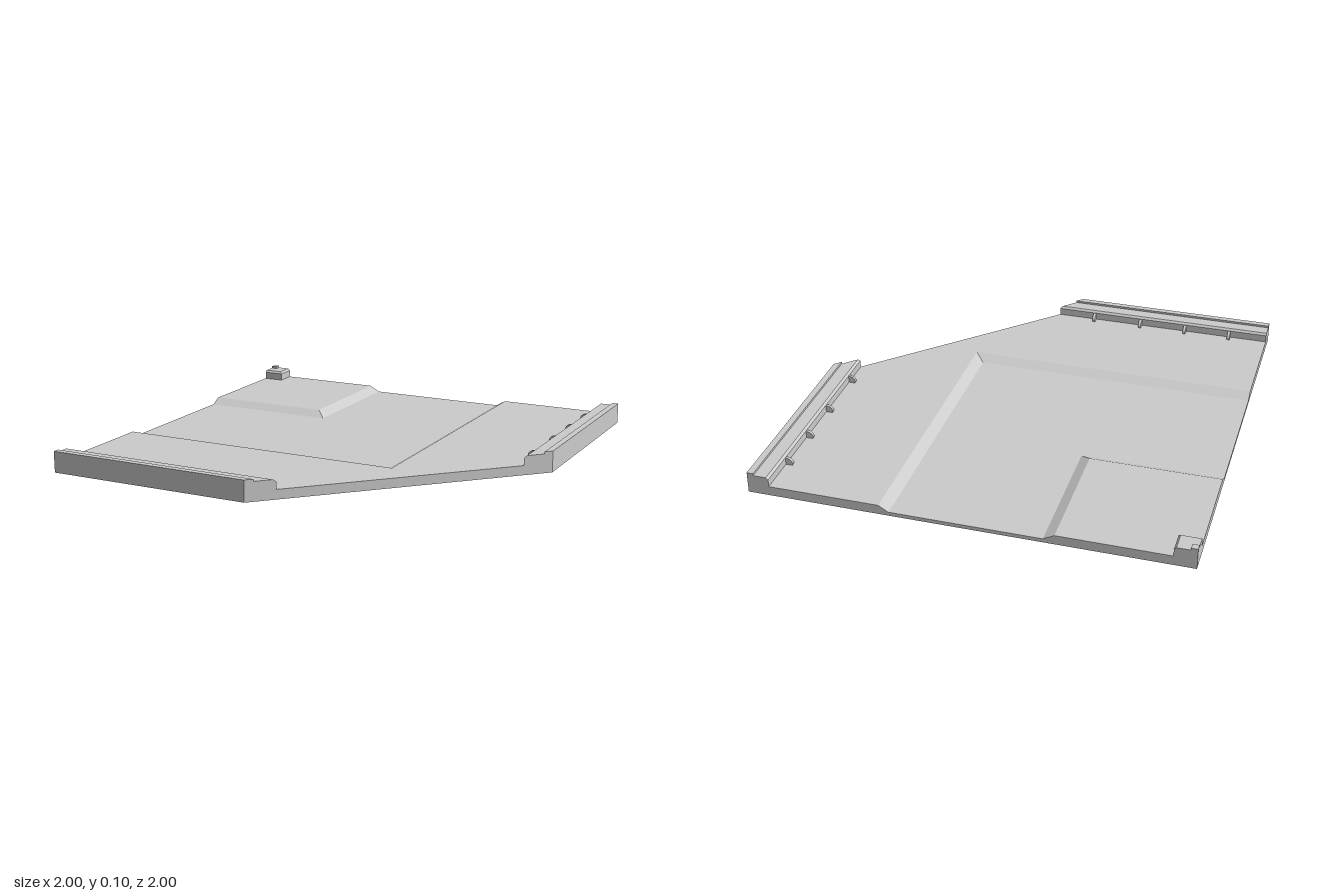
import * as THREE from 'three';

const CUT = 0.99; // the corner cut runs along x + z = CUT
const MID = CUT / 2;
const material = new THREE.MeshStandardMaterial({ color: 0xcccccc, flatShading: true });

// Sweeps a [distance, height] profile round the L-shaped plan, mitred on the
// diagonal and trimmed by the corner cut, with end walls down to the ground.
function sweep(name, profile, walls = true) {
  const pos = [];
  const end = d => Math.min(d, CUT - d);
  for (const mirrored of [false, true]) {
    const tri = (...pts) => {
      if (mirrored) pts.reverse();
      for (const [x, y, z] of pts) pos.push(...(mirrored ? [z, y, x] : [x, y, z]));
    };
    const quad = (a, b, c, d) => { tri(a, b, c); tri(a, c, d); };
    for (let i = 0; i < profile.length - 1; i++) {
      const [d0, y0] = profile[i], [d1, y1] = profile[i + 1];
      const e0 = end(d0), e1 = end(d1);
      quad([-1, y0, d0], [-1, y1, d1], [e1, y1, d1], [e0, y0, d0]);
      if (!walls || d0 === d1) continue;
      quad([-1, 0, d0], [-1, 0, d1], [-1, y1, d1], [-1, y0, d0]);
      if (d0 >= MID) quad([e0, 0, d0], [e0, y0, d0], [e1, y1, d1], [e1, 0, d1]);
    }
  }
  const geo = new THREE.BufferGeometry();
  geo.setAttribute('position', new THREE.Float32BufferAttribute(pos, 3));
  geo.computeVertexNormals();
  const mesh = new THREE.Mesh(geo, material);
  mesh.name = name;
  return mesh;
}

// Small rounded drain spout on the road face of a kerb
function spoutGeometry() {
  const s = new THREE.Shape();
  s.moveTo(0.91, 0.04);
  s.lineTo(0.87, 0.04);
  s.lineTo(0.866, 0.055);
  s.quadraticCurveTo(0.87, 0.076, 0.895, 0.078);
  s.lineTo(0.91, 0.078);
  s.closePath();
  const geo = new THREE.ExtrudeGeometry(s, { depth: 0.014, bevelEnabled: false, curveSegments: 5 });
  return geo.translate(0, 0, -0.007);
}

export function createModel() {
  const group = new THREE.Group();

  // Raised block at the inner corner, with a small lip
  group.add(sweep('cornerKerb', [[-1, 0.1], [-0.97, 0.1], [-0.97, 0.09], [-0.91, 0.09], [-0.9, 0.08], [-0.9, 0.045]]));
  // Inner paving, sloping down to the sunken lane and up again
  group.add(sweep('innerPaving', [[-0.9, 0.045], [-0.395, 0.045]]));
  group.add(sweep('sunkenLane', [[-0.395, 0.045], [-0.345, 0.018], [0.343, 0.018], [0.39, 0.045]]));
  group.add(sweep('outerPaving', [[0.39, 0.045], [MID, 0.045], [0.9, 0.045]]));
  // Outer kerbs with a raised lip
  group.add(sweep('outerKerbs', [[0.9, 0.045], [0.9, 0.08], [0.91, 0.09], [0.97, 0.09], [0.97, 0.1], [1, 0.1], [1, 0]]));
  group.add(sweep('underside', [[1, 0], [MID, 0], [-1, 0]], false));

  // Drain spouts along both kerbs
  const spout = spoutGeometry();
  const addSpout = (name, along, front) => {
    const mesh = new THREE.Mesh(spout, material);
    mesh.name = name;
    if (front) {
      mesh.rotation.y = -Math.PI / 2;
      mesh.position.x = along;
    } else mesh.position.z = along;
    group.add(mesh);
  };
  for (const z of [-0.81, -0.58, -0.345, -0.06]) addSpout('sideSpout', z, false);
  for (const x of [-0.81, -0.58, -0.345, -0.1]) addSpout('frontSpout', x, true);

  return group;
}
